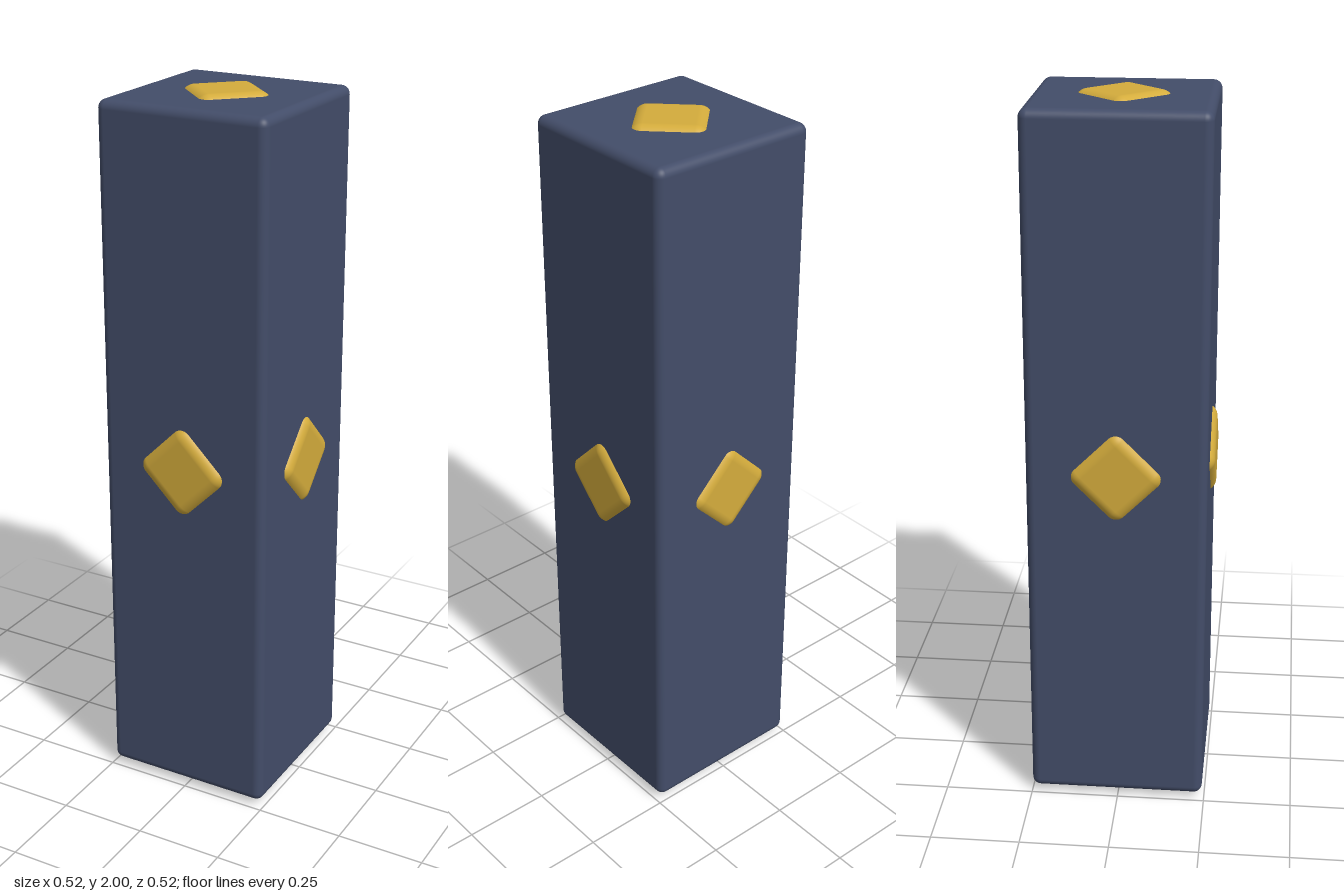
import * as THREE from 'three';
import { RoundedBoxGeometry } from 'three/addons/geometries/RoundedBoxGeometry.js';

export function createModel() {
  const model = new THREE.Group();
  model.name = 'pillar';

  const slate = new THREE.MeshStandardMaterial({ color: 0x434d69 });
  slate.name = 'slate blue';
  const gold = new THREE.MeshStandardMaterial({ color: 0xd4ac3c });
  gold.name = 'gold';

  // Tall square body with softly rounded edges
  const body = new THREE.Mesh(new RoundedBoxGeometry(0.493, 1.972, 0.493, 5, 0.024), slate);
  body.name = 'body';
  body.position.set(-0.001, 1.003, -0.003);
  model.add(body);

  // One rounded diamond stud, set into the centre of each face
  const depth = 0.1;
  const studGeometry = new RoundedBoxGeometry(0.208, 0.208, depth, 6, 0.038);
  studGeometry.rotateZ(Math.PI / 4);
  studGeometry.translate(0, 0, -depth / 2);

  const studs = [
    ['frontStud', [0, 0, 1], 0.258],
    ['backStud', [0, 0, -1], 0.26],
    ['leftStud', [1, 0, 0], 0.259],
    ['rightStud', [-1, 0, 0], 0.26],
    ['topStud', [0, 1, 0], 1],
    ['bottomStud', [0, -1, 0], 1],
  ];
  const forward = new THREE.Vector3(0, 0, 1);
  for (const [name, direction, reach] of studs) {
    const normal = new THREE.Vector3(...direction);
    const stud = new THREE.Mesh(studGeometry, gold);
    stud.name = name;
    stud.quaternion.setFromUnitVectors(forward, normal);
    stud.position.copy(normal).multiplyScalar(reach);
    stud.position.y += 1;
    // Small shared offset, kept within each face plane
    if (!direction[0]) stud.position.x -= 0.001;
    if (!direction[1]) stud.position.y += 0.003;
    if (!direction[2]) stud.position.z -= 0.003;
    model.add(stud);
  }

  return model;
}
